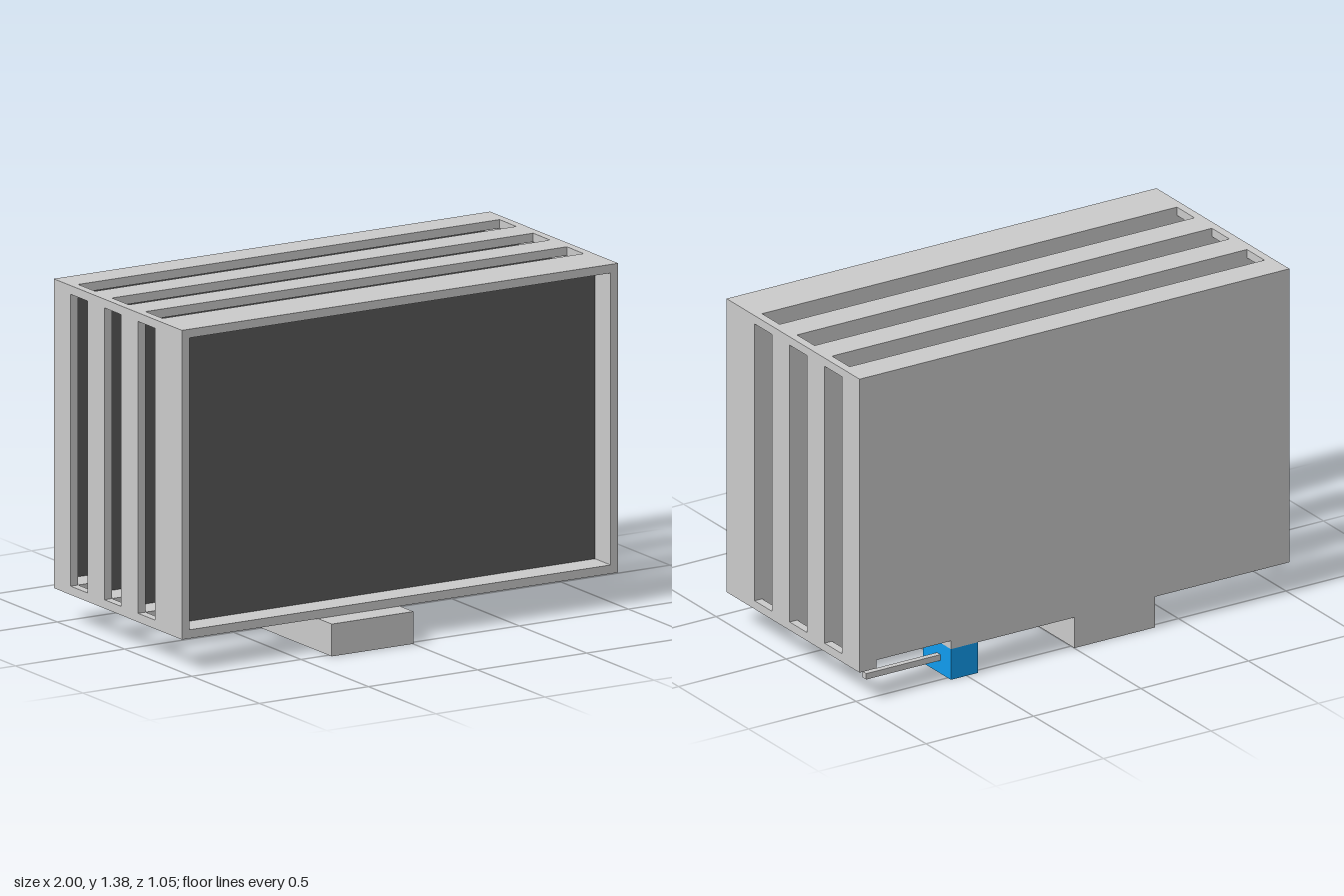
import * as THREE from 'three';

const grey = new THREE.MeshStandardMaterial({ color: 0xcccccc });
const dark = new THREE.MeshStandardMaterial({ color: 0x595959 });
const blue = new THREE.MeshStandardMaterial({ color: 0x109cee });

// Box given by its limits on each axis
function box(parent, name, [x0, x1], [y0, y1], [z0, z1], material = grey) {
  const mesh = new THREE.Mesh(new THREE.BoxGeometry(x1 - x0, y1 - y0, z1 - z0), material);
  mesh.position.set((x0 + x1) / 2, (y0 + y1) / 2, (z0 + z1) / 2);
  mesh.name = name;
  parent.add(mesh);
}

const W = 1, IN = 0.965;                           // outer and inner half width
const Y0 = 0.13, YI0 = 0.165, YI1 = 1.34, Y1 = 1.375; // outer and inner heights

// One tray: a rim around a recessed dark panel with a grey back
function tray(name, back, front, panelFront, railSpans) {
  const g = new THREE.Group();
  g.name = name;
  const z = [back, front];
  box(g, 'topRail', [-W, W], [YI1, Y1], z);
  for (const [a, b] of railSpans) box(g, 'bottomRail', [a, b], [Y0, YI0], z);
  for (const s of [-1, 1]) {
    box(g, 'sideRail', s < 0 ? [-W, -IN] : [IN, W], [YI0, YI1], z);
  }
  box(g, 'backPlate', [-IN, IN], [YI0, YI1], [back, panelFront - 0.005]);
  box(g, 'darkPanel', [-IN, IN], [YI0, YI1], [panelFront - 0.005, panelFront], dark);
  return g;
}

export function createModel() {
  const model = new THREE.Group();
  model.name = 'panelRack';

  // Four trays; the rear bottom rail is notched above the lever
  const full = [[-W, W]];
  const notched = [[-W, 0.575], [0.92, W]];
  model.add(tray('frontTray', 0.225, 0.425, 0.31, full));
  for (const back of [-0.025, -0.275, -0.525]) {
    const rear = back === -0.525;
    model.add(tray(rear ? 'rearTray' : 'middleTray', back, back + 0.125, back + 0.015, rear ? notched : full));
  }

  // Corner links and floor bridge across each gap
  for (const z0 of [0.1, -0.15, -0.4]) {
    const z = [z0, z0 + 0.125];
    for (const x of [[-W, -IN], [IN, W]]) {
      for (const y of [[Y0, YI0], [YI1, Y1]]) box(model, 'cornerLink', x, y, z);
    }
    box(model, 'floorBridge', [-0.41, 0.03], [Y0, YI0], z);
  }

  // Base rail under the rack with a row of dark pads below
  box(model, 'baseRail', [-0.375, 0], [0, Y0], [-0.525, 0.525]);
  for (const z of [0.435, 0.185, -0.065, -0.315]) {
    box(model, 'basePad', [-0.33, -0.263], [-0.001, 0.01], [z - 0.033, z + 0.033], dark);
  }

  // Blue drive block and its lever arm
  box(model, 'driveBlock', [0.45, 0.575], [0, Y0], [-0.525, -0.325], blue);
  box(model, 'leverArm', [0.575, 0.92], [0.055, 0.08], [-0.45, -0.425]);

  return model;
}
